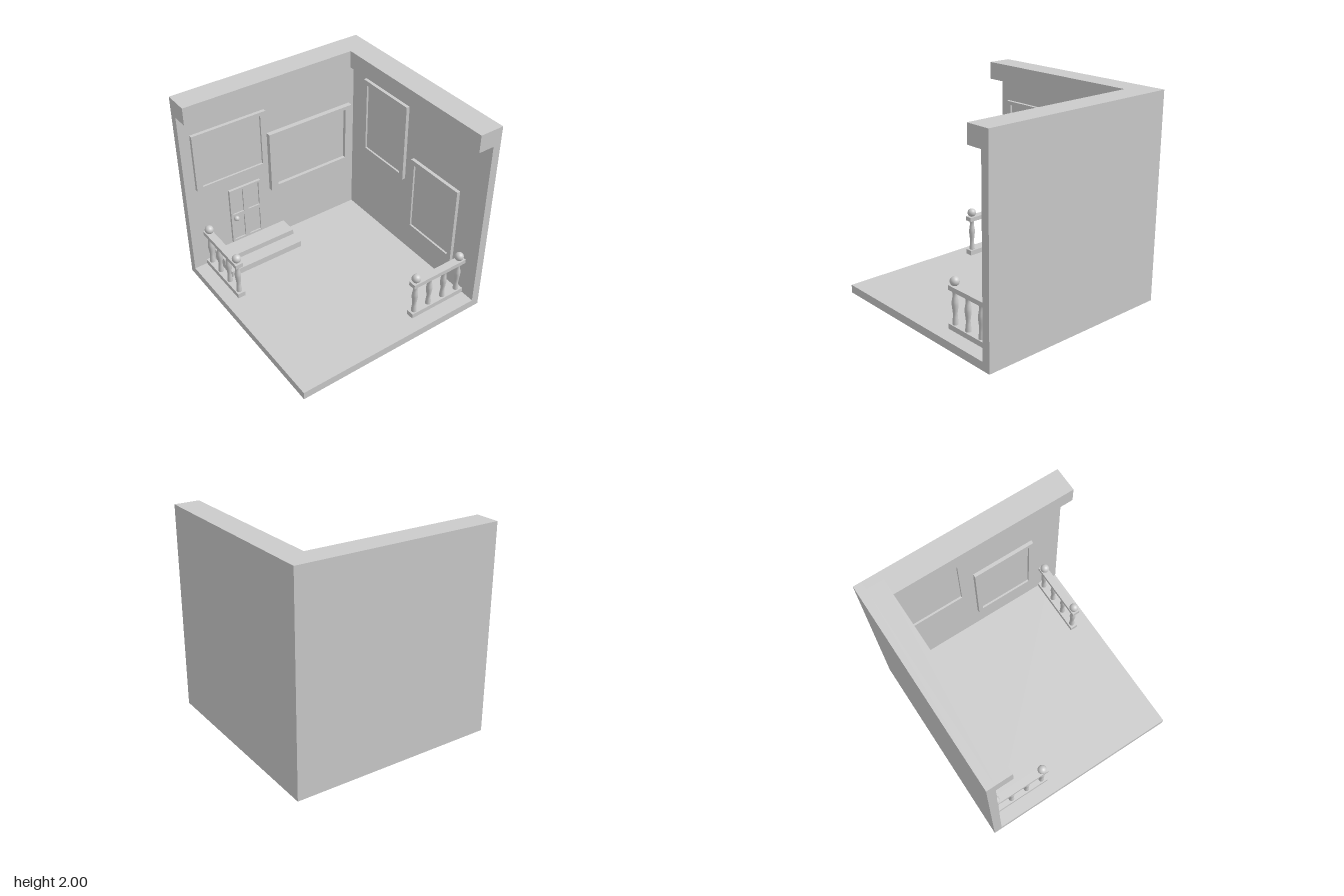
import * as THREE from 'three';

const mat = new THREE.MeshStandardMaterial({ color: 0xcccccc });

function mesh(parent, name, geometry, x = 0, y = 0, z = 0) {
  const m = new THREE.Mesh(geometry, mat);
  m.name = name;
  m.position.set(x, y, z);
  parent.add(m);
  return m;
}

// Box given by its limits on each axis
function box(parent, name, [x0, x1], [y0, y1], [z0, z1]) {
  return mesh(parent, name, new THREE.BoxGeometry(x1 - x0, y1 - y0, z1 - z0),
    (x0 + x1) / 2, (y0 + y1) / 2, (z0 + z1) / 2);
}

function rectPoints(Type, [x0, x1], [y0, y1]) {
  const p = new Type();
  p.moveTo(x0, y0);
  p.lineTo(x1, y0);
  p.lineTo(x1, y1);
  p.lineTo(x0, y1);
  p.closePath();
  return p;
}

// Rectangular frame with rectangular openings, each closed by a recessed panel
function framed(parent, name, xs, ys, openings, [z0, z1], panelZ) {
  const g = new THREE.Group();
  g.name = name;
  parent.add(g);
  const shape = rectPoints(THREE.Shape, xs, ys);
  for (const [ox, oy] of openings) shape.holes.push(rectPoints(THREE.Path, ox, oy));
  mesh(g, 'frame', new THREE.ExtrudeGeometry(shape, { depth: z1 - z0, bevelEnabled: false }), 0, 0, z0);
  for (const [ox, oy] of openings) box(g, 'panel', ox, oy, [z0, panelZ]);
  return g;
}

// Railing running along +x from the origin, standing on y = 0
function railing(name) {
  const g = new THREE.Group();
  g.name = name;
  const length = 0.615, half = 0.038;
  box(g, 'baseRail', [0, length], [0, 0.05], [-half, half]);
  box(g, 'handRail', [0, length], [0.367, 0.41], [-half, half]);
  const profile = [
    [0.027, 0.05], [0.026, 0.08], [0.021, 0.12], [0.02, 0.15], [0.025, 0.19], [0.03, 0.235],
    [0.029, 0.265], [0.023, 0.30], [0.02, 0.325], [0.022, 0.345], [0.027, 0.367],
  ].map(([r, y]) => new THREE.Vector2(r, y));
  for (let i = 0; i < 4; i++) {
    const x = 0.053 + i * 0.172;
    mesh(g, 'baluster', new THREE.LatheGeometry(profile, 20), x, 0, 0);
    if (i === 0 || i === 3) mesh(g, 'ballFinial', new THREE.SphereGeometry(0.043, 24, 16), x, 0.45, 0);
  }
  return g;
}

export function createModel() {
  const model = new THREE.Group();
  model.name = 'roomCorner';

  // Floor, two walls and the heavy cornice along their tops
  box(model, 'floor', [-1, 1], [0, 0.08], [-1, 1]);
  box(model, 'sideWall', [-1, -0.92], [0.08, 2], [-1, 1]);
  box(model, 'backWall', [-0.92, 1], [0.08, 2], [-1, -0.92]);
  box(model, 'sideCornice', [-0.92, -0.76], [1.83, 2], [-0.92, 1]);
  box(model, 'backCornice', [-0.76, 1], [1.83, 2], [-0.92, -0.76]);

  // Pictures on the back wall
  framed(model, 'tallPicture', [-0.71, -0.065], [0.877, 1.685],
    [[[-0.657, -0.118], [0.925, 1.637]]], [-0.92, -0.885], -0.905);
  framed(model, 'lowPicture', [0.043, 0.685], [0.362, 1.177],
    [[[0.09, 0.637], [0.415, 1.128]]], [-0.92, -0.885], -0.905);
  box(model, 'lowPictureBacking', [0.077, 0.677], [0.346, 0.362], [-0.92, -0.912]);

  // Side wall pieces: local x runs toward the back, local z out of the wall
  const side = new THREE.Group();
  side.name = 'sideWallPieces';
  side.rotation.y = Math.PI / 2;
  model.add(side);
  framed(side, 'frontPicture', [-0.893, -0.122], [1.0, 1.603],
    [[[-0.833, -0.18], [1.032, 1.567]]], [-0.92, -0.885], -0.905);
  framed(side, 'widePicture', [-0.111, 0.852], [0.692, 1.342],
    [[[-0.033, 0.778], [0.737, 1.306]]], [-0.905, -0.855], -0.89);
  const columns = [[-0.55, -0.427], [-0.379, -0.25]];
  const rows = [[0.262, 0.53], [0.573, 0.84]];
  const door = framed(side, 'door', [-0.572, -0.229], [0.24, 0.862],
    columns.flatMap((c) => rows.map((r) => [c, r])), [-0.905, -0.878], -0.893);
  mesh(door, 'knobStem', new THREE.CylinderGeometry(0.011, 0.011, 0.04, 16), -0.532, 0.542, -0.865)
    .rotation.x = Math.PI / 2;
  mesh(door, 'knob', new THREE.SphereGeometry(0.027, 20, 14), -0.532, 0.542, -0.848);

  // Two steps below the door
  box(model, 'lowerStep', [-0.92, -0.595], [0.08, 0.145], [-0.042, 0.762]);
  box(model, 'upperStep', [-0.92, -0.737], [0.145, 0.202], [-0.042, 0.762]);

  // Railings starting at each wall
  const frontRailing = railing('frontRailing');
  frontRailing.position.set(-0.92, 0.08, 0.829);
  const backRailing = railing('backRailing');
  backRailing.position.set(0.818, 0.08, -0.92);
  backRailing.rotation.y = -Math.PI / 2;
  model.add(frontRailing, backRailing);

  return model;
}
